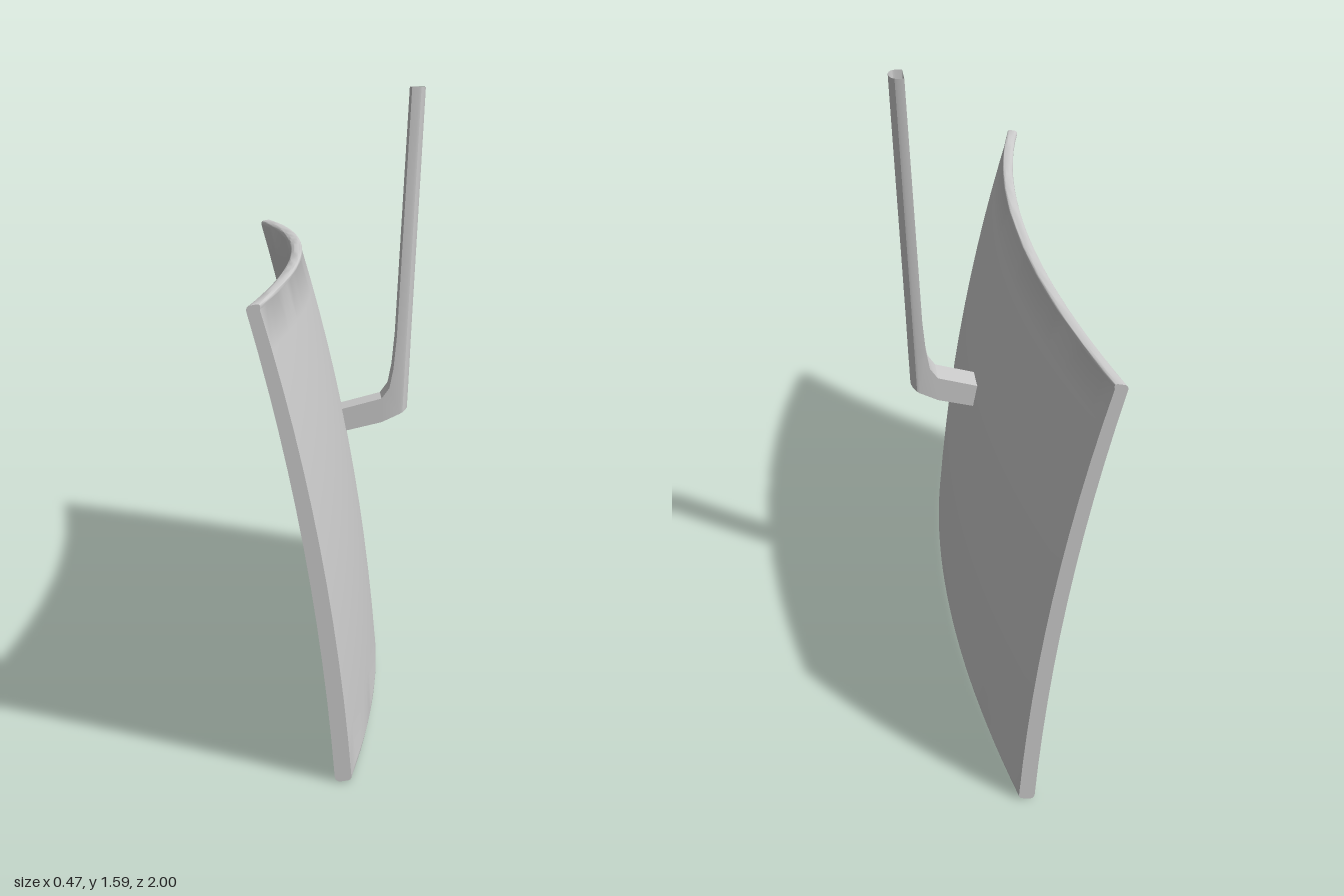
import * as THREE from 'three';
import { toCreasedNormals } from 'three/addons/utils/BufferGeometryUtils.js';

const material = new THREE.MeshStandardMaterial({ color: 0xcccccc, side: THREE.DoubleSide });

// Thin bowed panel: curved upright profile, swept along z and bent outwards in the middle
function createPanel() {
  const s = new THREE.Shape();
  s.moveTo(-0.042, 0.014);
  s.quadraticCurveTo(-0.04, 0, -0.027, 0.001);
  s.lineTo(-0.013, 0.003);
  s.quadraticCurveTo(0, 0.005, -0.003, 0.018);
  s.quadraticCurveTo(-0.047, 0.58, -0.208, 1.12);
  s.quadraticCurveTo(-0.204, 1.134, -0.217, 1.132);
  s.lineTo(-0.228, 1.13);
  s.quadraticCurveTo(-0.241, 1.128, -0.238, 1.115);
  s.quadraticCurveTo(-0.085, 0.573, -0.042, 0.014);
  const geo = new THREE.ExtrudeGeometry(s, { depth: 2, steps: 28, curveSegments: 12, bevelEnabled: false });
  geo.translate(0, 0, -1);
  const p = geo.attributes.position;
  for (let i = 0; i < p.count; i++) {
    const bow = 1 - p.getZ(i) ** 2;
    p.setXY(i, p.getX(i) + 0.1 * bow, p.getY(i) + 0.018 * bow);
  }
  const mesh = new THREE.Mesh(toCreasedNormals(geo, 0.6), material);
  mesh.name = 'curvedPanel';
  return mesh;
}

// Bent bracket: each section has an inner edge, a side edge and a rounded outer crest
function createArm() {
  const halfWidth = 0.048;
  const arcSteps = 10;
  const sections = [
    { inner: [0, 0.695], side: [0, 0.63], outer: [0, 0.63] },
    { inner: [0.115, 0.725], side: [0.115, 0.657], outer: [0.115, 0.657] },
    { inner: [0.137, 0.755], side: [0.167, 0.681], outer: [0.19, 0.694] },
    { inner: [0.148, 0.81], side: [0.173, 0.81], outer: [0.196, 0.81] },
    { inner: [0.157, 0.9], side: [0.178, 0.9], outer: [0.2, 0.9] },
    { inner: [0.195, 1.592], side: [0.214, 1.592], outer: [0.236, 1.592] },
  ];
  const positions = [];
  for (const { inner, side, outer } of sections) {
    positions.push(inner[0], inner[1], halfWidth);
    for (let i = 0; i <= arcSteps; i++) {
      const a = (i / arcSteps) * Math.PI;
      const k = Math.sin(a);
      positions.push(
        side[0] + (outer[0] - side[0]) * k,
        side[1] + (outer[1] - side[1]) * k,
        halfWidth * Math.cos(a)
      );
    }
    positions.push(inner[0], inner[1], -halfWidth);
  }
  const n = arcSteps + 3;
  const index = [];
  for (let j = 0; j < sections.length - 1; j++) {
    for (let i = 0; i < n; i++) {
      const a = j * n + i;
      const b = j * n + ((i + 1) % n);
      index.push(a, b, b + n, a, b + n, a + n);
    }
  }
  const geo = new THREE.BufferGeometry();
  geo.setAttribute('position', new THREE.Float32BufferAttribute(positions, 3));
  geo.setIndex(index);
  const mesh = new THREE.Mesh(toCreasedNormals(geo, 0.45), material);
  mesh.name = 'bentArm';
  return mesh;
}

export function createModel() {
  const group = new THREE.Group();
  group.name = 'panelOnArm';
  group.add(createPanel(), createArm());
  return group;
}
